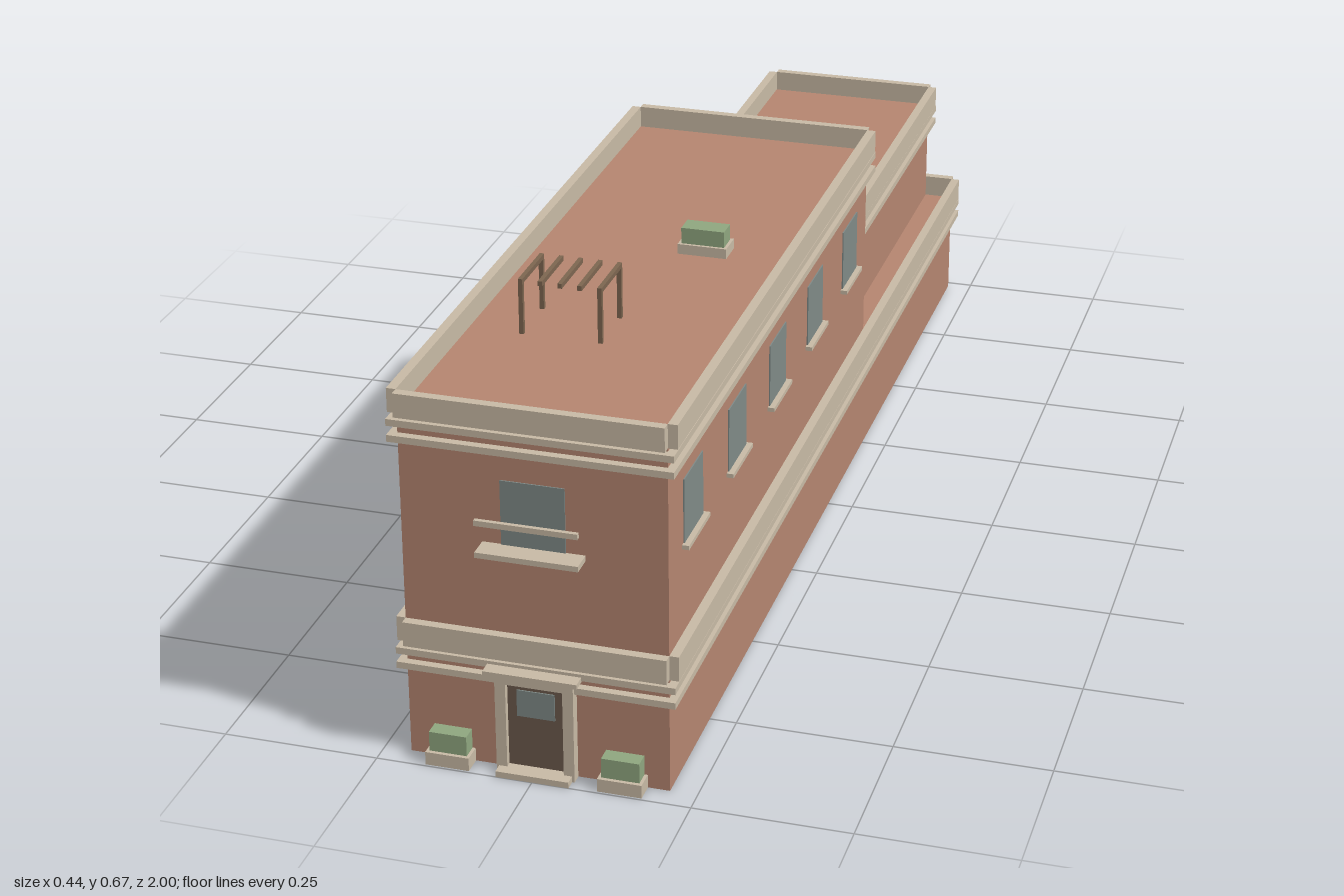
import * as THREE from 'three';

const mat = (color) => new THREE.MeshStandardMaterial({ color });
const brick = mat(0xb58570), stone = mat(0xc8baa5), glass = mat(0x7f8a87);
const green = mat(0x8fa67f), wood = mat(0x6b5a4c), metal = mat(0x7d6650);

// Box given by its extents along each axis
function block(parent, name, material, [x0, x1], [y0, y1], [z0, z1]) {
  const mesh = new THREE.Mesh(new THREE.BoxGeometry(x1 - x0, y1 - y0, z1 - z0), material);
  mesh.position.set((x0 + x1) / 2, (y0 + y1) / 2, (z0 + z1) / 2);
  mesh.name = name;
  parent.add(mesh);
  return mesh;
}

function part(parent, name) {
  const g = new THREE.Group();
  g.name = name;
  parent.add(g);
  return g;
}

const FRONT = 0.964, BACK = -0.984, STEP = -0.24, HALF = 0.207, T = 0.015;

// Brick storey with two string courses and a raised parapet of four walls
function storey(parent, name, w, z0, z1, y0, roof, top, bands, openFront) {
  const g = part(parent, name);
  block(g, 'walls', brick, [-w, w], [y0, roof], [z0, z1]);
  const p = [roof - 0.002, top];
  for (const s of [-1, 1]) {
    const m = block(g, 'sideParapet', stone, [w, w + T], p, [z0, z1]);
    m.position.x *= s;
  }
  block(g, 'backParapet', stone, [-w, w], p, [z0 - T, z0]);
  if (!openFront) block(g, 'frontParapet', stone, [-w, w], p, [z1, z1 + T]);
  const b = 0.013;
  for (const y of bands)
    block(g, 'stringCourse', stone, [-w - b, w + b], [y, y + 0.011], [z0 - b, openFront ? z1 : z1 + b]);
}

export function createModel() {
  const model = new THREE.Group();
  model.name = 'building';

  // Three stacked volumes
  storey(model, 'groundStorey', HALF, BACK, FRONT, 0, 0.194, 0.233, [0.151, 0.176], false);
  storey(model, 'rearStorey', 0.155, BACK, STEP, 0.19, 0.386, 0.423, [0.344, 0.369], true);
  storey(model, 'upperStorey', HALF, STEP, FRONT, 0.19, 0.577, 0.614, [0.533, 0.559], false);

  // Side windows with sills
  const windows = part(model, 'sideWindows');
  for (const s of [-1, 1])
    for (let i = 0; i < 5; i++) {
      const z = 0.84 - i * 0.24;
      block(windows, 'windowPane', glass, [HALF - 0.005, HALF + 0.002], [0.383, 0.488], [z - 0.049, z + 0.049])
        .position.x *= s;
      block(windows, 'windowSill', stone, [HALF - 0.005, HALF + 0.011], [0.376, 0.383], [z - 0.056, z + 0.056])
        .position.x *= s;
    }

  // Rear window over the lower roof
  block(model, 'rearWindow', glass, [-0.05, 0.05], [0.383, 0.488], [STEP - 0.002, STEP + 0.005]);

  // Front window with balcony slab and rail
  const balcony = part(model, 'balcony');
  block(balcony, 'frontWindow', glass, [-0.05, 0.05], [0.382, 0.488], [FRONT - 0.005, FRONT + 0.002]);
  block(balcony, 'balconySlab', stone, [-0.08, 0.08], [0.373, 0.382], [FRONT - 0.005, 1]);
  block(balcony, 'balconyRail', stone, [-0.08, 0.08], [0.426, 0.435], [0.993, 1]);

  // Entrance
  const entrance = part(model, 'entrance');
  for (const s of [-1, 1])
    block(entrance, 'doorJamb', stone, [0.045, 0.062], [0, 0.174], [FRONT - 0.005, FRONT + 0.018])
      .position.x *= s;
  block(entrance, 'doorLintel', stone, [-0.045, 0.045], [0.153, 0.174], [FRONT - 0.005, FRONT + 0.018]);
  block(entrance, 'doorCanopy', stone, [-0.074, 0.074], [0.174, 0.182], [FRONT - 0.005, 1]);
  block(entrance, 'door', wood, [-0.045, 0.045], [0.01, 0.153], [FRONT - 0.005, FRONT + 0.008]);
  block(entrance, 'doorWindow', glass, [-0.03, 0.03], [0.097, 0.142], [FRONT, FRONT + 0.01]);
  block(entrance, 'doorStep', stone, [-0.058, 0.058], [0, 0.01], [FRONT - 0.005, 1]);

  // Planters either side of the door
  for (const s of [-1, 1]) {
    const planter = part(model, 'planter');
    block(planter, 'planterBox', stone, [0.102, 0.172], [0, 0.022], [FRONT - 0.005, 0.996]).position.x *= s;
    block(planter, 'hedge', green, [0.107, 0.167], [0.022, 0.055], [FRONT, 0.99]).position.x *= s;
  }

  // Roof frame: five bars, the outer two on posts
  const frame = part(model, 'roofFrame');
  for (let i = 0; i < 5; i++) {
    const x = -0.121 + i * 0.03175, wide = [x - 0.0035, x + 0.0035];
    block(frame, 'bar', metal, wide, [0.661, 0.669], [0.552, 0.656]);
    if (i % 4 === 0)
      for (const z of [0.5555, 0.6525])
        block(frame, 'post', metal, wide, [0.577, 0.661], [z - 0.0035, z + 0.0035]);
  }

  // Roof planter
  const box = part(model, 'roofPlanter');
  block(box, 'planterBase', stone, [0.02, 0.102], [0.577, 0.594], [0.245, 0.291]);
  block(box, 'planterHedge', green, [0.025, 0.097], [0.594, 0.621], [0.25, 0.286]);

  return model;
}
